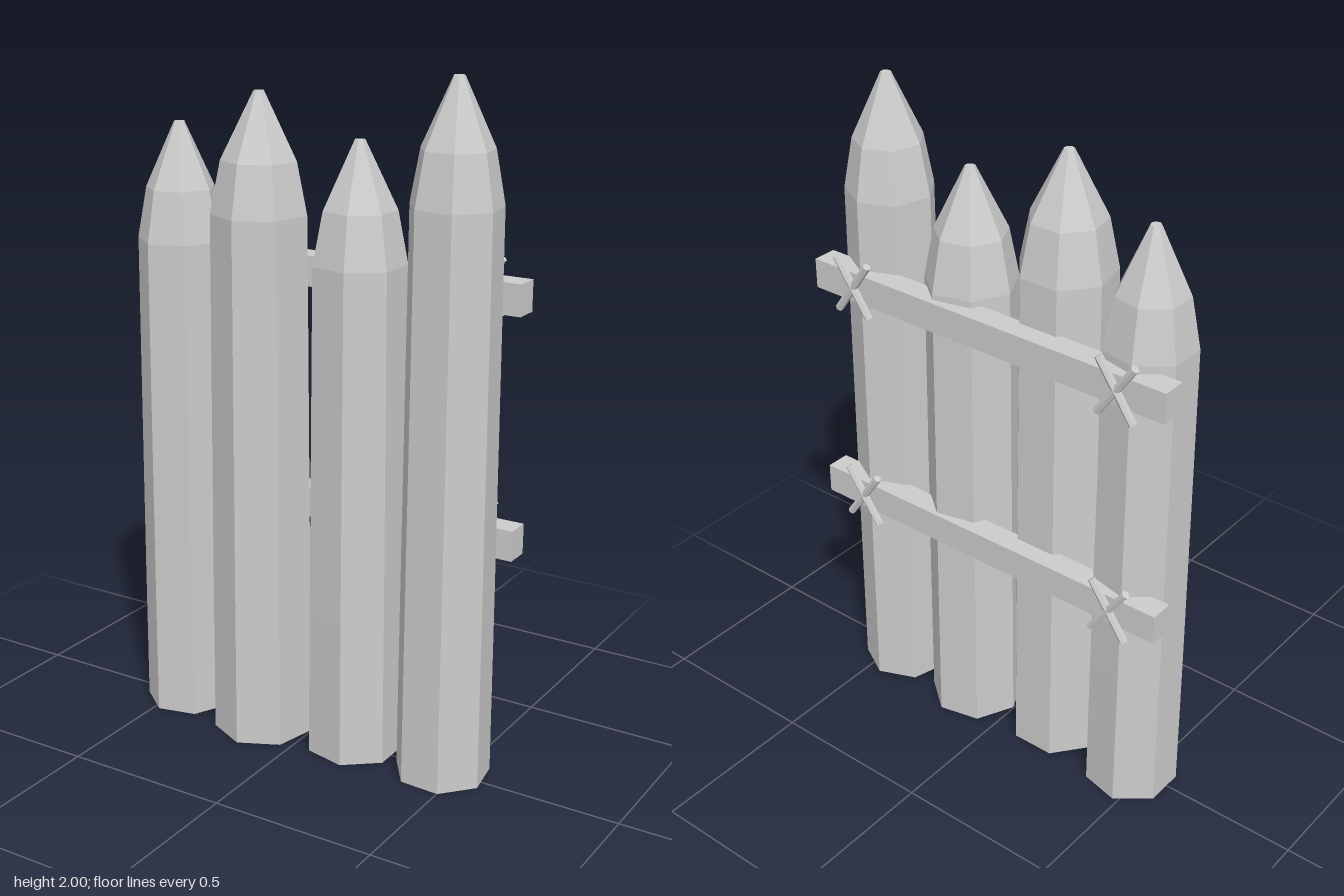
import * as THREE from 'three';

// Faceted normals for a low-poly look
function faceted(geometry) {
  const g = geometry.toNonIndexed();
  g.computeVertexNormals();
  return g;
}

export function createModel() {
  const model = new THREE.Group();
  model.name = 'palisade';
  const wood = new THREE.MeshStandardMaterial({ color: 0xcccccc });
  wood.name = 'pale grey';

  const add = (name, geometry, x, y, z) => {
    const mesh = new THREE.Mesh(faceted(geometry), wood);
    mesh.name = name;
    mesh.position.set(x, y, z);
    model.add(mesh);
    return mesh;
  };

  // Seven-sided sharpened stakes: x, z, height, radius, turn in degrees
  const stakes = [
    [-0.452, -0.01, 1.815, 0.139, 90],
    [-0.151, 0.028, 1.925, 0.151, 0],
    [0.149, -0.01, 1.81, 0.146, 270],
    [0.448, -0.003, 2.0, 0.14, 74],
  ];
  stakes.forEach(([x, z, h, r, turn], i) => {
    const profile = [
      [0, 0], [r, 0], [r * 0.985, 0.45], [r * 0.93, h - 0.34],
      [r * 0.73, h - 0.19], [0.015, h], [0, h],
    ].map(([px, py]) => new THREE.Vector2(px, py));
    const start = THREE.MathUtils.degToRad(turn);
    add(`stake${i + 1}`, new THREE.LatheGeometry(profile, 7, start), x, 0, z);
  });

  // Two rails behind the stakes, each with crossed lashings near its ends
  [['lower', 0.704], ['upper', 1.407]].forEach(([level, y]) => {
    add(`${level}Rail`, new THREE.BoxGeometry(1.21, 0.09, 0.073), 0, y, -0.1235);
    [['right', -0.46], ['left', 0.45]].forEach(([side, x]) => {
      for (const lean of [-1, 1]) {
        const rod = new THREE.CylinderGeometry(0.012, 0.012, 0.2, 6);
        const lashing = add(`${level}${side}Lashing`, rod, x, y + 0.007, -0.172);
        lashing.rotation.z = lean * THREE.MathUtils.degToRad(35);
      }
    });
  });

  return model;
}
